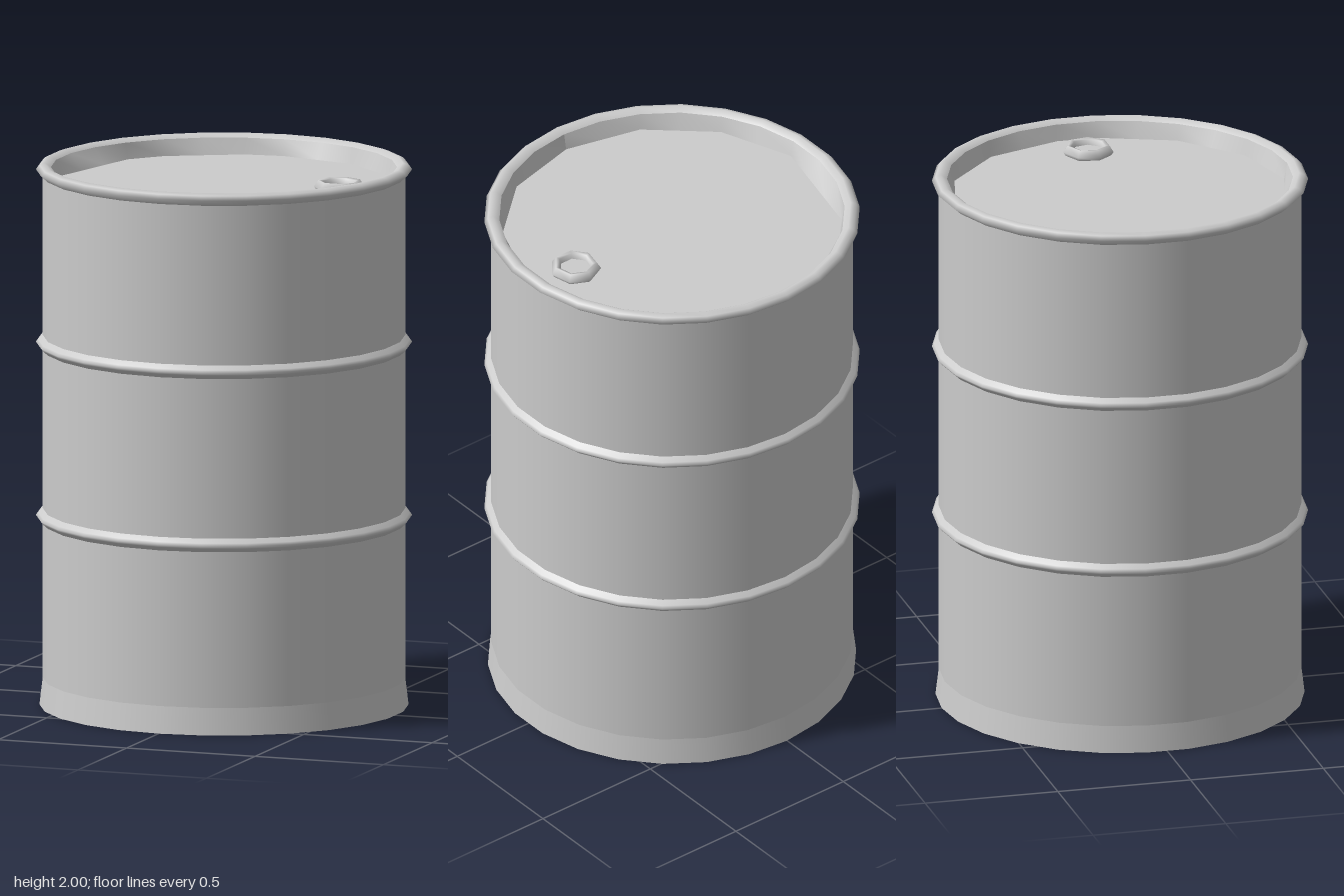
import * as THREE from 'three';

const SIDES = 26;
const material = new THREE.MeshStandardMaterial({ color: 0xcccccc });

// Revolves a profile of [radius, y] pairs; outside runs upward.
function lathe(name, profile, sides = SIDES, start = 0) {
  const points = profile.map(([r, y]) => new THREE.Vector2(r, y));
  const mesh = new THREE.Mesh(new THREE.LatheGeometry(points, sides, start), material);
  mesh.name = name;
  return mesh;
}

// Pulls one ring of a lathe onto the straight chords between the chosen corners.
function facetRing(mesh, ring, corners) {
  const { position } = mesh.geometry.attributes;
  const ringCount = position.count / (SIDES + 1);
  const loop = [...corners, SIDES];
  const a = new THREE.Vector3(), b = new THREE.Vector3(), p = new THREE.Vector3();
  for (let k = 0; k < loop.length - 1; k++) {
    const from = loop[k], to = loop[k + 1];
    a.fromBufferAttribute(position, from * ringCount + ring);
    b.fromBufferAttribute(position, to * ringCount + ring);
    for (let i = from + 1; i < to; i++) {
      p.lerpVectors(a, b, (i - from) / (to - from));
      position.setXYZ(i * ringCount + ring, p.x, p.y, p.z);
    }
  }
  mesh.geometry.computeVertexNormals();
  return mesh;
}

export function createModel() {
  const drum = new THREE.Group();
  drum.name = 'drum';
  const R = 0.66, PEAK = 0.685;

  // Shell: flared foot and three straight bands between the ribs
  drum.add(lathe('foot', [[0.672, 0], [R, 0.1]]));
  const bands = [[0.1, 0.675], [0.725, 1.315], [1.365, 1.955]];
  for (const [low, high] of bands) drum.add(lathe('wall', [[R, low], [R, high]]));

  // Rolled ribs
  for (const y of [0.7, 1.34]) {
    drum.add(lathe('rib', [[R, y - 0.025], [0.677, y - 0.01], [PEAK, y], [0.677, y + 0.01], [R, y + 0.025]]));
  }

  // Rolled top rim
  drum.add(lathe('rim', [[R, 1.955], [PEAK, 1.977], [0.672, 1.993], [0.652, 2], [0.63, 1.985]]));

  // Inner wall and sunken lid, meeting along an uneven polygon
  const corners = [0, 2, 4, 6, 7, 9, 11, 13, 14, 16, 17, 20, 22, 24];
  drum.add(facetRing(lathe('innerWall', [[0.63, 1.985], [0.618, 1.925]]), 1, corners));
  drum.add(facetRing(lathe('lid', [[0.618, 1.925], [0, 1.925]]), 0, corners));

  // Recessed underside
  drum.add(lathe('bottomLip', [[0.635, 0.03], [0.645, 0], [0.672, 0]]));
  drum.add(lathe('bottom', [[0, 0.03], [0.635, 0.03]]));

  // Filler cap: a small ring with a sunken centre
  const cap = new THREE.Group();
  cap.name = 'fillerCap';
  cap.add(lathe('capRing', [[0.085, 0], [0.094, 0.014], [0.078, 0.038], [0.064, 0.034], [0.058, 0.015]], 7, Math.PI));
  cap.add(lathe('capCentre', [[0.058, 0.015], [0, 0.015]], 7, Math.PI));
  cap.position.set(0.45, 1.925, 0);
  drum.add(cap);

  return drum;
}
